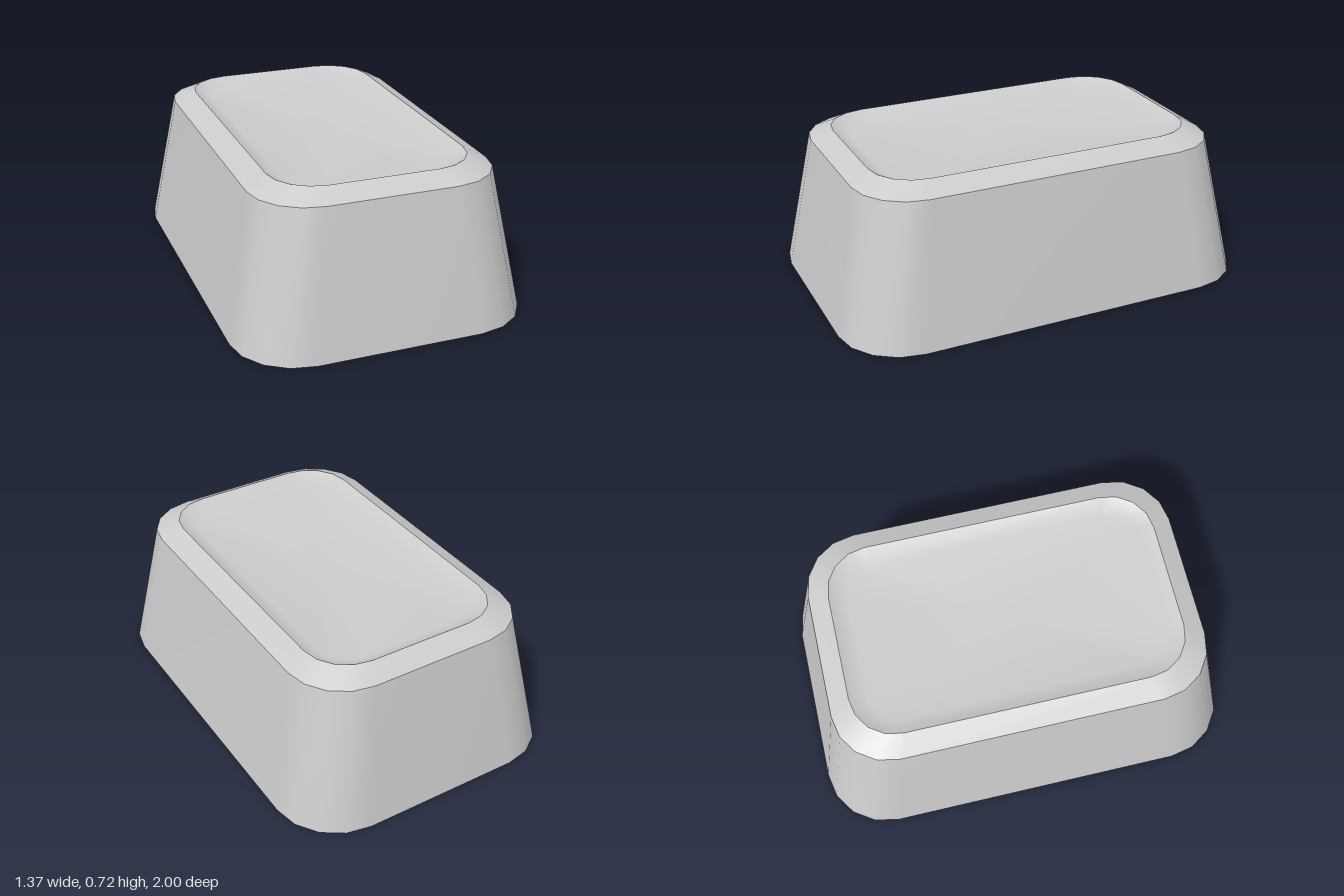
import * as THREE from 'three';

const CORNER_STEPS = 4;

// Rounded rectangle outline at height y, counter-clockwise seen from above.
function ring([halfX, halfZ, radius, y]) {
  const points = [];
  for (let corner = 0; corner < 4; corner++) {
    const sx = corner === 0 || corner === 3 ? 1 : -1;
    const sz = corner < 2 ? -1 : 1;
    for (let i = 0; i <= CORNER_STEPS; i++) {
      const a = (corner + i / CORNER_STEPS) * Math.PI / 2;
      points.push([
        sx * (halfX - radius) + radius * Math.cos(a),
        y,
        sz * (halfZ - radius) - radius * Math.sin(a),
      ]);
    }
  }
  return points;
}

// Smooth skin through successive outlines; capY closes the last one at its centre.
function skin(name, sections, material, capY = null, flip = false) {
  const rings = sections.map(ring);
  const n = rings[0].length;
  const positions = rings.flat(2);
  const index = [];
  const tri = (a, b, c) => (flip ? index.push(a, c, b) : index.push(a, b, c));
  for (let r = 0; r < rings.length - 1; r++) {
    for (let i = 0; i < n; i++) {
      const j = (i + 1) % n;
      const a = r * n + i, b = r * n + j;
      tri(a, b, b + n);
      tri(a, b + n, a + n);
    }
  }
  if (capY !== null) {
    const start = (rings.length - 1) * n;
    positions.push(0, capY, 0);
    for (let i = 0; i < n; i++) tri(start + i, start + (i + 1) % n, rings.length * n);
  }
  const geometry = new THREE.BufferGeometry();
  geometry.setAttribute('position', new THREE.Float32BufferAttribute(positions, 3));
  geometry.setIndex(index);
  geometry.computeVertexNormals();
  const mesh = new THREE.Mesh(geometry, material);
  mesh.name = name;
  return mesh;
}

export function createModel() {
  const group = new THREE.Group();
  group.name = 'taperedBlock';
  const material = new THREE.MeshStandardMaterial({ color: 0xcccccc });

  // Outlines: half width, half depth, corner radius, height
  const base = [0.683, 1, 0.3, 0];
  const shoulder = [0.563, 0.877, 0.265, 0.667];
  const rim = [0.463, 0.782, 0.21, 0.718];
  const floorEdge = [0.38, 0.7, 0.15, 0.675];

  group.add(
    skin('taperedWalls', [base, shoulder], material),
    skin('bevelledRim', [shoulder, rim], material),
    // Shallow recess in the top, blending smoothly into its floor
    skin('topRecess', [rim, floorEdge], material, 0.67),
    skin('underside', [base], material, 0, true),
  );
  return group;
}
